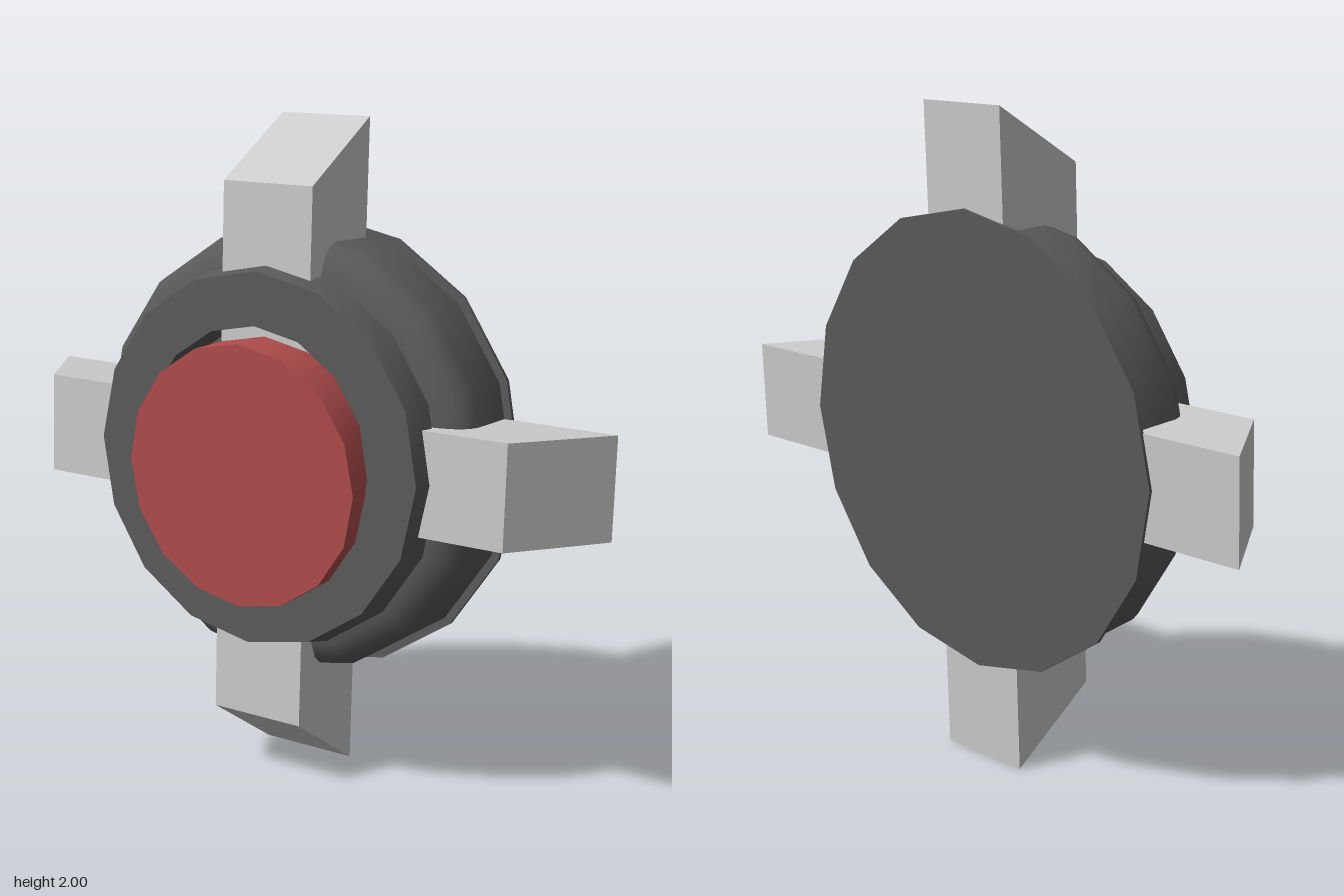
import * as THREE from 'three';
import { toCreasedNormals } from 'three/addons/utils/BufferGeometryUtils.js';

const SIDES = 16;

// Solid of revolution about z from [radius, z] pairs listed back to front
function turned(name, profile, material) {
  const points = profile.map(([r, z]) => new THREE.Vector2(r, z));
  const lathe = new THREE.LatheGeometry(points, SIDES).rotateX(Math.PI / 2);
  const mesh = new THREE.Mesh(toCreasedNormals(lathe, 0.62), material);
  mesh.name = name;
  return mesh;
}

export function createModel() {
  const group = new THREE.Group();
  group.name = 'fourArmedButton';
  const grey = new THREE.MeshStandardMaterial({ color: 0xcccccc });
  const dark = new THREE.MeshStandardMaterial({ color: 0x5a5a5a });
  const red = new THREE.MeshStandardMaterial({ color: 0xb04c4c });

  // Everything but the button leans back slightly
  const base = new THREE.Group();
  base.name = 'base';
  base.position.y = 1.0075;
  base.rotation.x = -0.04;
  group.add(base);

  // Rounded housing with a thin rear flange and an open centre
  base.add(turned('housing', [
    [0, -0.205], [0.7, -0.205], [0.7, -0.192], [0.675, -0.192],
    [0.675, -0.03], [0.665, 0], [0.642, 0.026], [0.6, 0.045], [0.56, 0.052],
    [0.41, 0.052], [0.41, 0.03], [0, 0.03],
  ], dark));

  // Front ring, tapering forward
  base.add(turned('frontRing', [
    [0.41, 0.05], [0.56, 0.05], [0.58, 0.065], [0.56, 0.16], [0.4, 0.16], [0.4, 0.03],
  ], dark));

  // Four arms with slanted ends
  const side = new THREE.Shape([
    new THREE.Vector2(0.3, -0.195), new THREE.Vector2(1, -0.195),
    new THREE.Vector2(0.81, 0.105), new THREE.Vector2(0.3, 0.105),
  ]);
  const armGeometry = new THREE.ExtrudeGeometry(side, { depth: 0.31, bevelEnabled: false });
  armGeometry.translate(0, 0, -0.155).rotateX(Math.PI / 2);
  ['leftArm', 'topArm', 'rightArm', 'bottomArm'].forEach((name, i) => {
    const arm = new THREE.Mesh(armGeometry, grey);
    arm.name = name;
    arm.rotation.z = i * Math.PI / 2;
    base.add(arm);
  });

  // Upright button, set a little low in the ring
  const button = turned('button', [[0, 0.06], [0.397, 0.06], [0.397, 0.23], [0, 0.23]], red);
  button.position.y = 0.978;
  group.add(button);

  return group;
}
